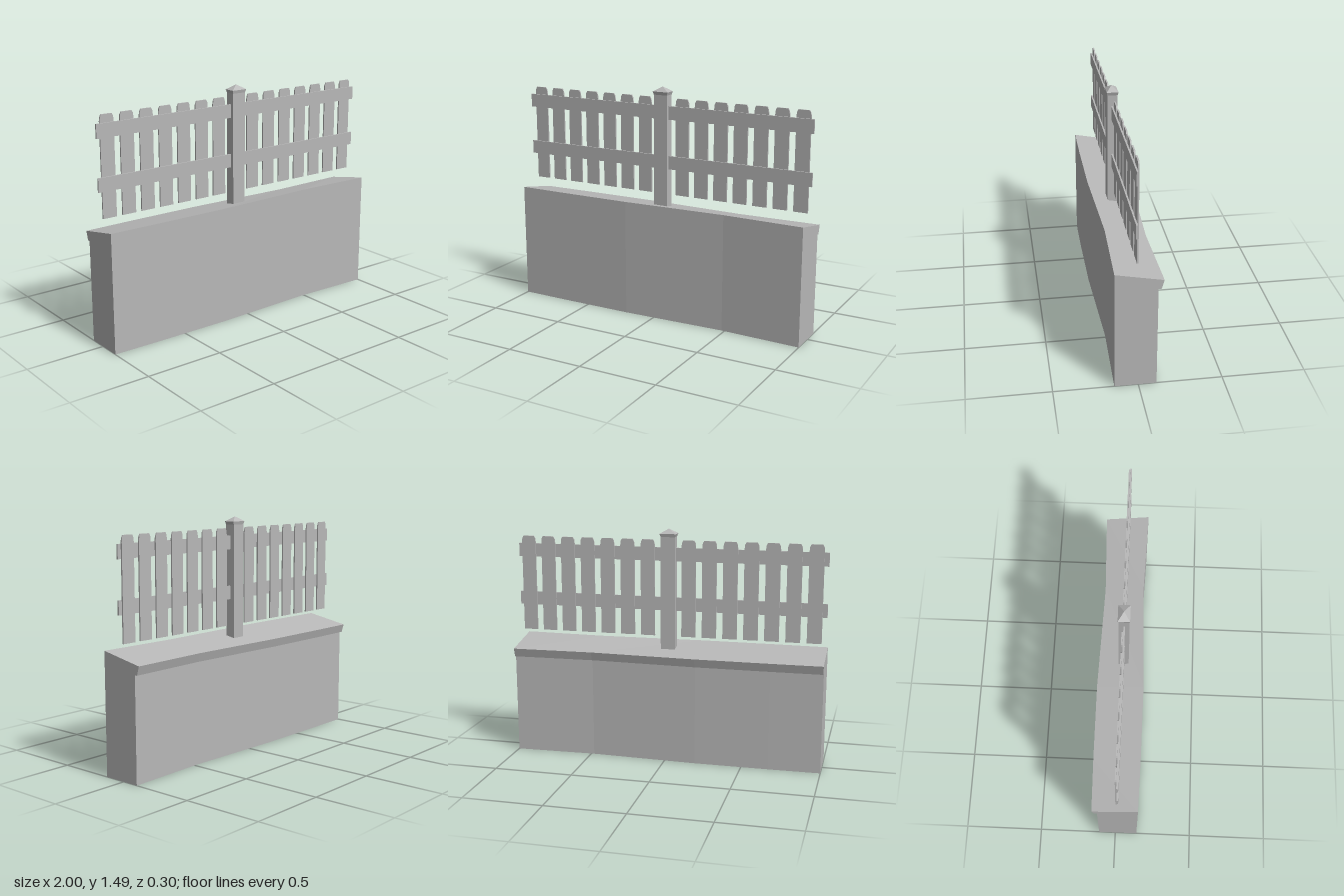
import * as THREE from 'three';

const grey = new THREE.MeshStandardMaterial({ color: 0xb8b8b8 });
grey.name = 'stone grey';

function add(group, name, geometry, x = 0, y = 0, z = 0) {
  const mesh = new THREE.Mesh(geometry, grey);
  mesh.name = name;
  mesh.position.set(x, y, z);
  group.add(mesh);
  return mesh;
}

// Wall with a sloped coping that overhangs the back; its thickness varies along x
function wallGeometry() {
  const stations = [[-1, 0.142], [-0.67, 0.147], [-0.2, 0.148], [0.48, 0.125], [1, 0.141]];
  const loops = stations.map(([x, d]) => [
    [d, 0], [0.033 - d, 0], [0.033 - d, 0.64], [0.016 - d, 0.64], [-d, 0.695], [d, 0.75],
  ].map(([z, y]) => [x, y, z]));
  const pos = [];
  const tri = (...corners) => corners.forEach((c) => pos.push(...c));
  for (let i = 0; i < loops.length - 1; i++) {
    const p = loops[i], q = loops[i + 1];
    for (let j = 0; j < 6; j++) {
      const k = (j + 1) % 6;
      tri(p[j], p[k], q[j]);
      tri(p[k], q[k], q[j]);
    }
  }
  // End faces fan out from the inner corner below the overhang
  const first = loops[0], last = loops[loops.length - 1];
  for (const [a, b] of [[3, 4], [4, 5], [5, 0], [0, 1]]) {
    tri(last[2], last[a], last[b]);
    tri(first[2], first[b], first[a]);
  }
  const geometry = new THREE.BufferGeometry();
  geometry.setAttribute('position', new THREE.Float32BufferAttribute(pos, 3));
  geometry.computeVertexNormals();
  return geometry;
}

// Square post with a flared eave and pyramid top
function postGeometry() {
  const r = Math.SQRT2;
  const profile = [[0, 0.7], [r, 0.7], [r, 1.435], [r * 1.14, 1.455], [0, 1.485]]
    .map(([x, y]) => new THREE.Vector2(x, y));
  const geometry = new THREE.LatheGeometry(profile, 4, Math.PI / 4)
    .scale(0.046, 1, 0.0315).toNonIndexed();
  geometry.computeVertexNormals();
  return geometry;
}

// Flat board with clipped top corners
function picketGeometry() {
  const outline = [[-0.046, 0.8], [0.046, 0.8], [0.046, 1.375], [0.043, 1.4], [0.035, 1.415],
    [-0.035, 1.415], [-0.043, 1.4], [-0.046, 1.375]].map(([x, y]) => new THREE.Vector2(x, y));
  return new THREE.ExtrudeGeometry(new THREE.Shape(outline), { depth: 0.009, bevelEnabled: false });
}

export function createModel() {
  const model = new THREE.Group();
  model.name = 'gardenWall';

  add(model, 'wall', wallGeometry());
  add(model, 'post', postGeometry(), 0, 0, 0.0155);

  // Rails run along the front of the pickets
  for (const y of [1.0075, 1.3235]) {
    add(model, 'rail', new THREE.BoxGeometry(2, 0.085, 0.01), 0, y, 0.018);
  }

  // Seven pickets on each side of the post
  const picket = picketGeometry();
  for (let i = 0; i < 15; i++) {
    if (i !== 7) add(model, 'picket', picket, 0.003 + (i - 7) * 0.1325, 0, 0.004);
  }
  return model;
}
